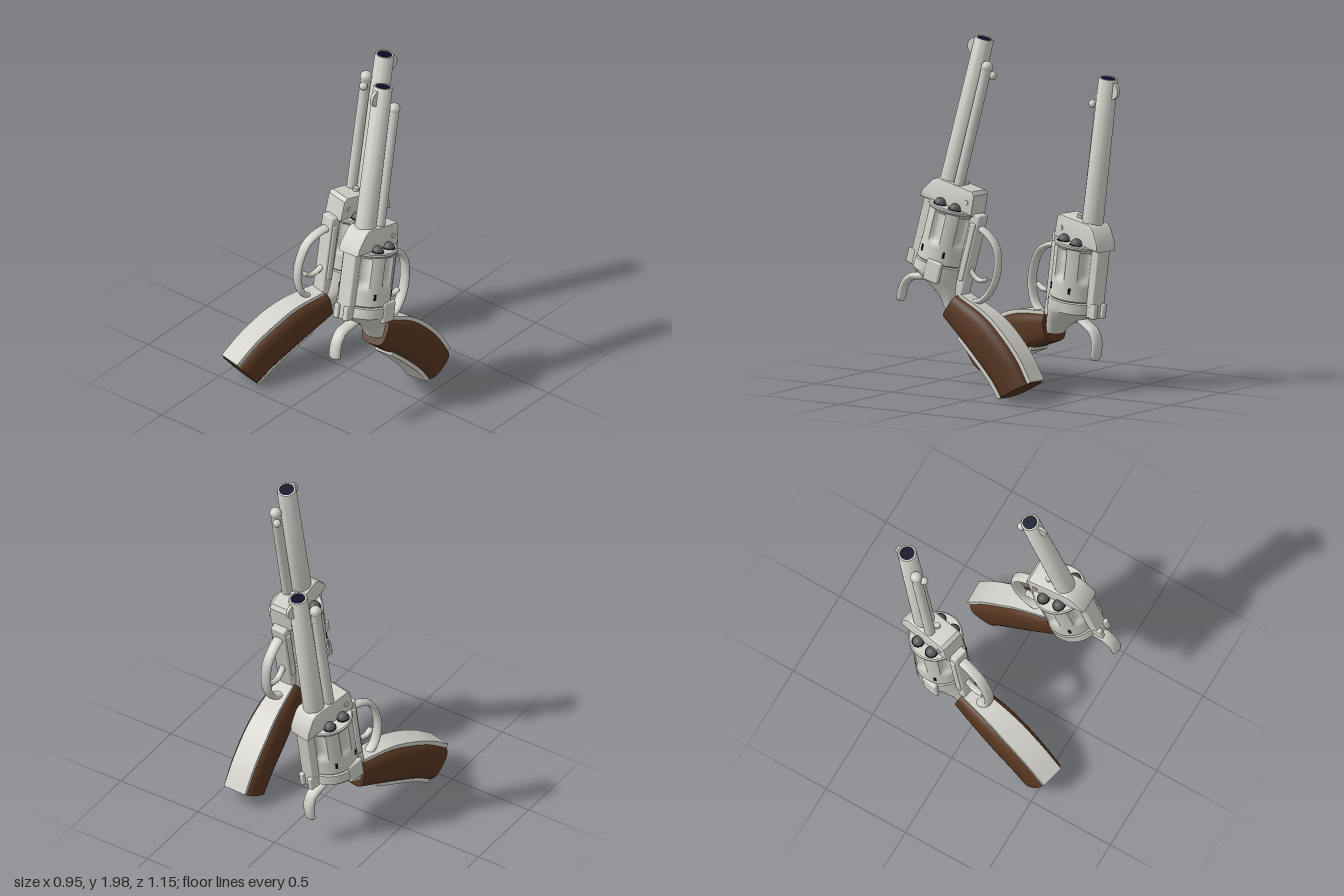
import * as THREE from 'three';
import { toCreasedNormals } from 'three/addons/utils/BufferGeometryUtils.js';
import { RoundedBoxGeometry } from 'three/addons/geometries/RoundedBoxGeometry.js';

const V2 = (x, y) => new THREE.Vector2(x, y);
const V3 = (x, y, z) => new THREE.Vector3(x, y, z);
const mat = (name, color) => {
  const m = new THREE.MeshStandardMaterial({ color });
  m.name = name;
  return m;
};

// Closed skin over rings of points, with end caps; winding set so faces point outward.
function loft(rings, crease = 0.6) {
  const n = rings[0].length, pos = [], idx = [];
  rings.forEach(r => r.forEach(p => pos.push(p.x, p.y, p.z)));
  for (let i = 0; i < rings.length - 1; i++)
    for (let j = 0; j < n; j++) {
      const a = i * n + j, b = i * n + (j + 1) % n;
      idx.push(a, b, b + n, a, b + n, a + n);
    }
  const last = (rings.length - 1) * n;
  for (let j = 1; j < n - 1; j++) idx.push(0, j + 1, j, last, last + j, last + j + 1);
  const at = i => V3(pos[3 * i], pos[3 * i + 1], pos[3 * i + 2]);
  let volume = 0;
  for (let i = 0; i < idx.length; i += 3) volume += at(idx[i]).dot(at(idx[i + 1]).cross(at(idx[i + 2])));
  if (volume < 0) idx.reverse();
  const g = new THREE.BufferGeometry();
  g.setAttribute('position', new THREE.Float32BufferAttribute(pos, 3));
  g.setIndex(idx);
  return toCreasedNormals(g, crease);
}

// Round bar in the x = 0 plane through (y, z) points, widened sideways, with rounded ends.
function bar(points, r, widen) {
  const curve = new THREE.CatmullRomCurve3(points.map(([y, z]) => V3(0, y, z)));
  const rings = [], steps = 28;
  for (let i = 0; i <= steps; i++) {
    const u = i / steps, p = curve.getPointAt(u), t = curve.getTangentAt(u);
    const k = i === 0 || i === steps ? 0.7 : 1;
    rings.push(Array.from({ length: 14 }, (_, j) => {
      const a = j / 14 * Math.PI * 2, c = Math.cos(a) * r * k, s = Math.sin(a) * r * k;
      return V3(c * widen, p.y - s * t.z, p.z + s * t.y);
    }));
  }
  return loft(rings, 0.9);
}

const AXIS = -0.07; // z of the cylinder axis; the barrel axis is z = 0

// One revolver: muzzle at the origin pointing +y, sight side +z.
function makeRevolver(M) {
  const gun = new THREE.Group();
  const add = (name, geo, m, x = 0, y = 0, z = 0) => {
    const mesh = new THREE.Mesh(geo, m);
    mesh.name = name;
    mesh.position.set(x, y, z);
    gun.add(mesh);
    return mesh;
  };
  const box = (name, w, y0, y1, z0, z1, r = 0.01, x = 0) =>
    add(name, new RoundedBoxGeometry(w, Math.abs(y1 - y0), Math.abs(z1 - z0), 2, r), M.steel, x, (y0 + y1) / 2, (z0 + z1) / 2);

  // Barrel, bore and front sight
  add('barrel', toCreasedNormals(new THREE.LatheGeometry([V2(0, -0.86), V2(0.059, -0.86), V2(0.053, -0.005), V2(0.05, 0), V2(0.041, 0), V2(0.039, -0.03)], 32), 0.6), M.steel);
  add('bore', new THREE.CircleGeometry(0.041, 32).rotateX(-Math.PI / 2), M.bore, 0, -0.004, 0);
  add('frontSight', new THREE.CylinderGeometry(0.046, 0.046, 0.018, 24).rotateZ(Math.PI / 2), M.steel, 0, -0.062, 0.046);

  // Ejector tube beside the barrel
  add('ejectorTube', new THREE.CapsuleGeometry(0.029, 0.7, 8, 20), M.steel, 0.036, -0.485, -0.08);
  add('ejectorTip', new THREE.SphereGeometry(0.033, 20, 14), M.steel, 0.036, -0.138, -0.08);
  add('ejectorButton', new THREE.SphereGeometry(0.023, 16, 12), M.steel, 0.012, -0.18, -0.112);
  add('arborPin', new THREE.CylinderGeometry(0.018, 0.018, 0.04, 16), M.steel, -0.012, -0.82, -0.09);

  // Front frame block, sloping up to the top strap
  const side = new THREE.Shape([V2(0.045, -0.825), V2(0.07, -0.84), V2(0.117, -0.915), V2(0.122, -0.945), V2(-0.215, -0.945), V2(-0.205, -0.84), V2(-0.19, -0.825)]);
  const block = new THREE.ExtrudeGeometry(side, { depth: 0.11, bevelSize: 0.008, bevelThickness: 0.015, bevelSegments: 3 });
  add('frameBlock', toCreasedNormals(block.translate(0, 0, -0.055).rotateY(-Math.PI / 2), 0.5), M.steel);
  add('frameScrew', new THREE.CylinderGeometry(0.015, 0.015, 0.15, 16).rotateZ(Math.PI / 2), M.steel, 0, -0.89, -0.17);

  // Straps above and below the cylinder, rear sight and loading gate
  box('topStrap', 0.09, -0.9, -1.34, 0.06, 0.117);
  box('lowerStrap', 0.09, -0.94, -1.42, -0.262, -0.2);
  box('lowerPlate', 0.11, -0.99, -1.32, -0.25, -0.215, 0.008);
  for (const s of [-1, 1]) box('rearSight', 0.03, -1.255, -1.335, 0.09, 0.136, 0.006, s * 0.032);
  box('loadingGate', 0.03, -1.24, -1.36, -0.16, -0.06, 0.012, 0.14);
  add('framePin', new THREE.CylinderGeometry(0.012, 0.012, 0.1, 14).rotateZ(Math.PI / 2), M.steel, 0, -1.31, -0.235);

  // Fluted cylinder
  const profile = [V2(0, -1.262), V2(0.14, -1.262), V2(0.145, -1.255)];
  for (let i = 0; i <= 16; i++) profile.push(V2(0.143, -1.2 + i * 0.0145));
  profile.push(V2(0.15, -0.96), V2(0.15, -0.95), V2(0.143, -0.945), V2(0, -0.945));
  const drum = new THREE.LatheGeometry(profile, 96);
  const p = drum.attributes.position;
  for (let i = 0; i < p.count; i++) {
    const x = p.getX(i), y = p.getY(i), z = p.getZ(i);
    const along = THREE.MathUtils.smoothstep(y, -1.165, -1.12) * (1 - THREE.MathUtils.smoothstep(y, -0.985, -0.968));
    const lobe = Math.sqrt(Math.max(0, -Math.cos(6 * Math.atan2(x, z)) - 0.1));
    const k = Math.hypot(x, z) > 0.12 ? 1 - 0.17 * along * lobe : 1;
    p.setXYZ(i, x * k, y, z * k);
  }
  add('cylinder', toCreasedNormals(drum, 0.6), M.steel, 0, 0, AXIS);

  // Chambers with bullets, and the stop notches
  for (let i = 0; i < 6; i++) {
    const a = i * Math.PI / 3, sx = Math.sin(a), cz = Math.cos(a);
    add('chamber', new THREE.CylinderGeometry(0.037, 0.037, 0.004, 24), M.bore, sx * 0.1, -0.944, AXIS + cz * 0.1);
    add('bullet', new THREE.SphereGeometry(0.032, 20, 8, 0, Math.PI * 2, 0, Math.PI / 2), M.lead, sx * 0.1, -0.942, AXIS + cz * 0.1);
    add('stopNotch', new THREE.BoxGeometry(0.014, 0.034, 0.006), M.notch, sx * 0.1435, -1.2, AXIS + cz * 0.1435).rotation.y = a;
  }

  // Rear frame: recoil shield narrowing into the grip. Columns: y, half width, z low, z high
  const rear = [[-1.268, 0.149, -0.219, 0.079], [-1.325, 0.149, -0.219, 0.085], [-1.345, 0.138, -0.222, 0.06], [-1.38, 0.112, -0.228, 0.0],
    [-1.42, 0.085, -0.24, -0.08], [-1.45, 0.068, -0.245, -0.12], [-1.5, 0.055, -0.25, -0.16]];
  add('rearFrame', loft(rear.map(([y, w, z0, z1]) => Array.from({ length: 32 }, (_, j) => {
    const a = j / 32 * Math.PI * 2;
    return V3(w * Math.cos(a), y, (z0 + z1) / 2 + (z1 - z0) / 2 * Math.sin(a));
  }))), M.steel);

  // Hammer, trigger guard, trigger
  add('hammer', bar([[-1.37, -0.02], [-1.395, 0.05], [-1.415, 0.1], [-1.46, 0.13], [-1.51, 0.138], [-1.565, 0.134]], 0.021, 1.75), M.steel);
  add('triggerGuard', bar([[-1.01, -0.23], [-1.03, -0.31], [-1.085, -0.385], [-1.18, -0.42], [-1.29, -0.42], [-1.38, -0.38], [-1.425, -0.31], [-1.43, -0.23]], 0.017, 1.8), M.steel);
  add('trigger', bar([[-1.24, -0.24], [-1.28, -0.29], [-1.29, -0.33], [-1.27, -0.375]], 0.013, 1.4), M.steel);

  // Grip: wooden body with a metal strap running through its middle
  const curve = pts => new THREE.CatmullRomCurve3(pts.map(([y, z]) => V3(0, y, z)));
  const upper = curve([[-1.4, -0.24], [-1.457, -0.478], [-1.588, -0.7], [-1.709, -0.828]]);
  const lower = curve([[-1.55, -0.185], [-1.678, -0.423], [-1.78, -0.584], [-1.852, -0.668]]);
  const wood = [], strap = [];
  const round = v => Math.sign(v) * Math.abs(v) ** 0.62;
  for (let i = 0; i <= 20; i++) {
    const u = i / 20, a = upper.getPointAt(u), b = lower.getPointAt(u);
    const mid = a.clone().add(b).multiplyScalar(0.5), half = a.clone().sub(b).multiplyScalar(0.5);
    const w = 0.08 + 0.028 * Math.sin(Math.min(1, u * 1.5) * Math.PI / 2) - 0.008 * u * u;
    wood.push(Array.from({ length: 32 }, (_, j) => {
      const t = j / 32 * Math.PI * 2;
      return mid.clone().addScaledVector(half, round(Math.sin(t))).setX(w * round(Math.cos(t)));
    }));
    const v = 0.02 + 0.975 * u, top = upper.getPointAt(v), low = lower.getPointAt(v);
    const out = top.clone().sub(low).normalize(), sw = 0.05 + 0.018 * Math.min(1, v * 2);
    top.addScaledVector(out, 0.013);
    low.addScaledVector(out, v < 0.24 ? 0.03 : -0.013);
    strap.push([top.clone().setX(sw), top.clone().setX(-sw), low.clone().setX(-sw), low.clone().setX(sw)]);
  }
  add('gripWood', loft(wood, 0.7), M.wood);
  add('gripStrap', loft(strap), M.steel);
  return gun;
}

export function createModel() {
  const M = {
    steel: mat('steel', 0xd0cfc8), wood: mat('wood', 0x553520), bore: mat('boreNavy', 0x0b0c26),
    lead: mat('lead', 0x5c5c5c), notch: mat('notchBlack', 0x0c0c0c),
  };
  const model = new THREE.Group();
  // Place each gun by its muzzle position, barrel direction and sight direction
  const place = (name, muzzle, up, sight) => {
    const y = V3(...up).normalize(), x = y.clone().cross(V3(...sight)).normalize();
    const gun = makeRevolver(M);
    gun.name = name;
    gun.quaternion.setFromRotationMatrix(new THREE.Matrix4().makeBasis(x, y, x.clone().cross(y)));
    gun.position.set(...muzzle);
    model.add(gun);
  };
  place('leftRevolver', [0.275, 1.986, 0.04], [-0.045, 0.97, -0.24], [0, 0.24, 0.97]);
  place('rightRevolver', [-0.145, 1.757, -0.49], [0.03, 0.99, -0.147], [0.22, -0.15, -0.975]);
  return model;
}
